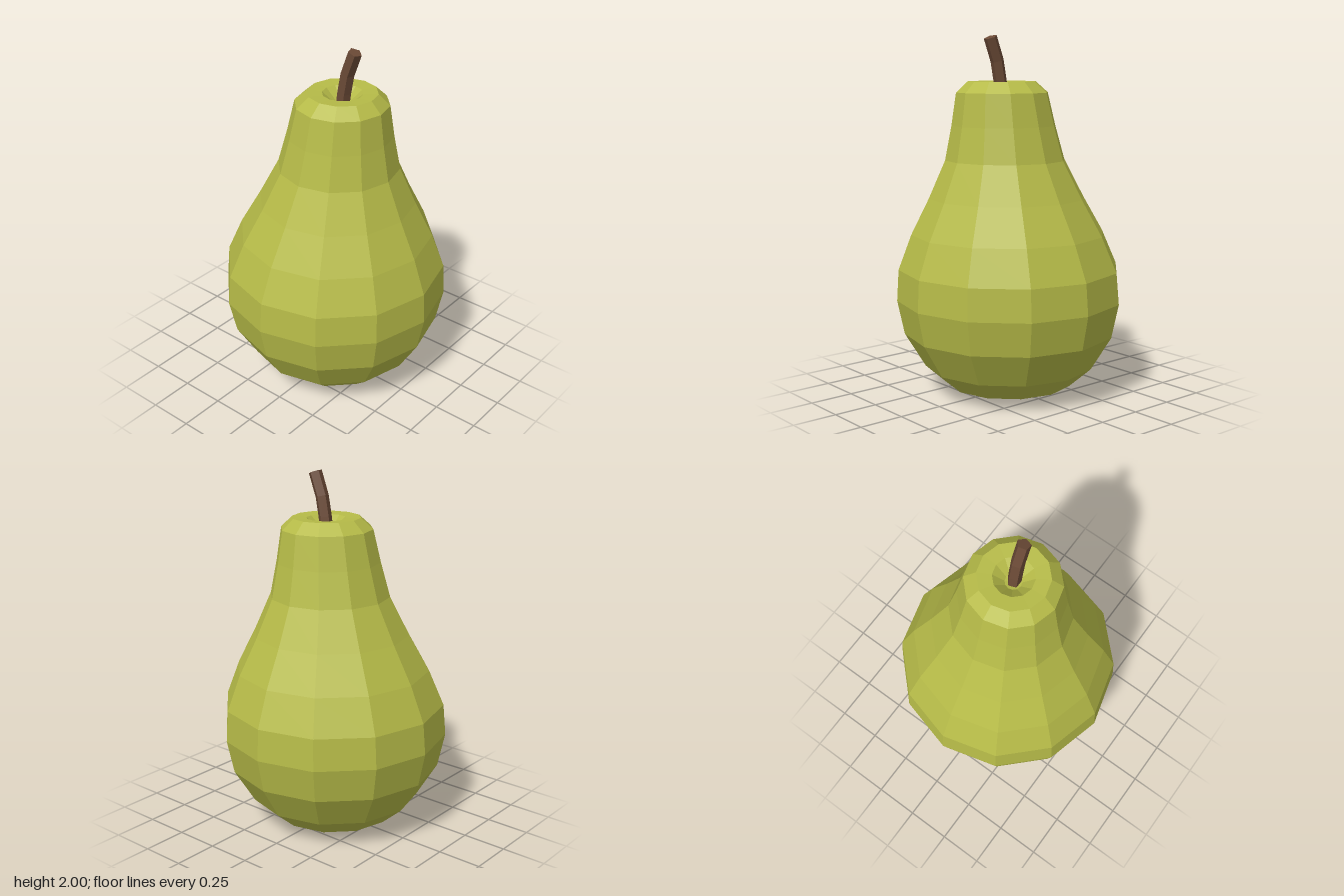
import * as THREE from 'three';

// Sideways lean of the fruit's axis at a given height
const lean = (y) => 0.056 * THREE.MathUtils.clamp((y - 0.6) / 1.15, 0, 1) ** 1.25;

function createBody() {
  // Profile as [radius, height], from the base up and into the stem dimple
  const profile = [
    [0, 0], [0.2, 0], [0.355, 0.05], [0.48, 0.16], [0.595, 0.35], [0.635, 0.54],
    [0.622, 0.715], [0.543, 0.91], [0.436, 1.11], [0.335, 1.32], [0.29, 1.51],
    [0.255, 1.69], [0.19, 1.75], [0.11, 1.745], [0.045, 1.69], [0, 1.68],
  ].map(([r, y]) => new THREE.Vector2(r, y));
  const geometry = new THREE.LatheGeometry(profile, 12);
  const pos = geometry.attributes.position;
  for (let i = 0; i < pos.count; i++) pos.setX(i, pos.getX(i) + lean(pos.getY(i)));
  geometry.computeVertexNormals();
  const material = new THREE.MeshStandardMaterial({ color: 0xb6bb48, flatShading: true });
  const mesh = new THREE.Mesh(geometry, material);
  mesh.name = 'pearBody';
  return mesh;
}

function createStem() {
  // Rings as [x, y, tilt]; a five-sided rod is bent through them
  const rings = [[0.055, 1.67, 0.1], [0.066, 1.75, 0.16], [0.087, 1.86, 0.28], [0.135, 1.987, 0.36]];
  const geometry = new THREE.CylinderGeometry(0.038, 0.038, 1, 5, rings.length - 1);
  geometry.rotateY(Math.PI);
  const pos = geometry.attributes.position;
  for (let i = 0; i < pos.count; i++) {
    const [x, y, tilt] = rings[Math.round((pos.getY(i) + 0.5) * (rings.length - 1))];
    const across = pos.getX(i);
    pos.setXYZ(i, x + across * Math.cos(tilt), y - across * Math.sin(tilt), pos.getZ(i));
  }
  geometry.computeVertexNormals();
  const material = new THREE.MeshStandardMaterial({ color: 0x6b4a36, flatShading: true });
  const mesh = new THREE.Mesh(geometry, material);
  mesh.name = 'stem';
  return mesh;
}

export function createModel() {
  const group = new THREE.Group();
  group.name = 'pear';
  group.add(createBody(), createStem());
  return group;
}
